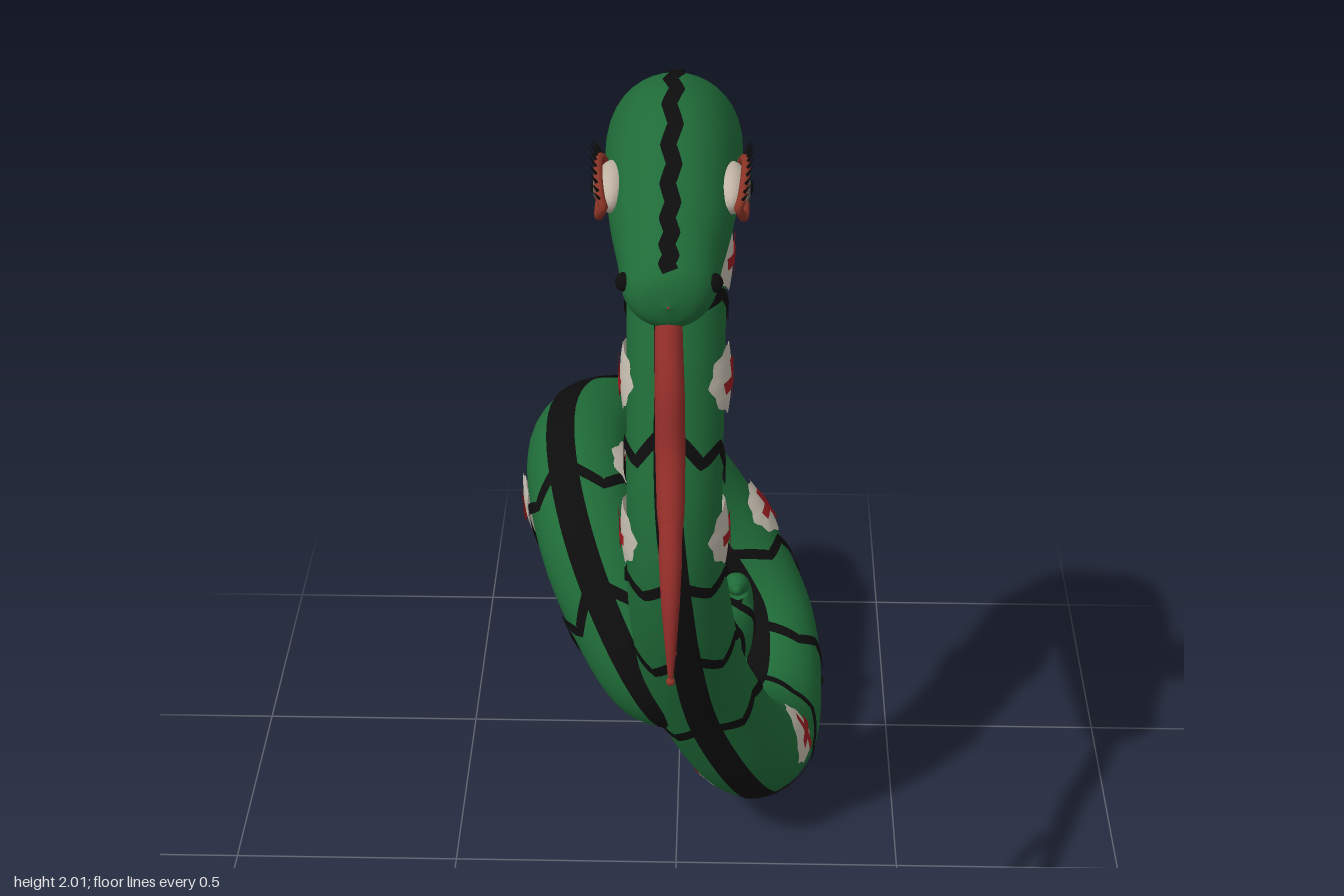
import * as THREE from 'three';
import { mergeGeometries } from 'three/addons/utils/BufferGeometryUtils.js';

const V = (x, y, z) => new THREE.Vector3(x, y, z);
const mat = (color) => new THREE.MeshStandardMaterial({ color, side: THREE.DoubleSide });
const GREEN = mat(0x1f6b38), BLACK = mat(0x0d0d0d), PATCH = mat(0xc4bcae), CROSS = mat(0x9a1c20);
const TONGUE = mat(0x8f2c28), LID = mat(0x8a3426), SCLERA = mat(0xc0b3a4), IRIS = mat(0x6a665c);

function add(parent, name, geometry, material) {
  const m = new THREE.Mesh(geometry, material);
  m.name = name;
  parent.add(m);
  return m;
}

// Skin a surface function f(u, v) with a grid; closed joins v back to its start
function skin(f, [u0, u1], [v0, v1], nu, nv, closed = false) {
  const pos = [], idx = [], row = closed ? nv : nv + 1;
  for (let i = 0; i <= nu; i++)
    for (let j = 0; j < row; j++)
      pos.push(...f(u0 + (u1 - u0) * i / nu, v0 + (v1 - v0) * j / nv).toArray());
  for (let i = 0; i < nu; i++)
    for (let j = 0; j < nv; j++) {
      const k = (j + 1) % row, a = i * row + j, b = a + row, c = i * row + k, d = c + row;
      idx.push(a, b, c, b, d, c);
    }
  const g = new THREE.BufferGeometry();
  g.setAttribute('position', new THREE.Float32BufferAttribute(pos, 3));
  g.setIndex(idx);
  g.computeVertexNormals();
  return g;
}
const TURN = [0, Math.PI * 2];

// Tapered tube through [x, y, z, radius] points; u is the point index
function tube(points, ref) {
  const n = points.length - 1;
  const path = new THREE.CatmullRomCurve3(points.map((p) => V(p[0], p[1], p[2])));
  const frame = (u) => {
    const t = THREE.MathUtils.clamp(u / n, 0, 1), i = Math.min(Math.floor(t * n), n - 1);
    const T = path.getTangent(t), S = ref.clone().addScaledVector(T, -ref.dot(T)).normalize();
    const r = THREE.MathUtils.lerp(points[i][3], points[i + 1][3], t * n - i);
    return { C: path.getPoint(t), T, S, O: T.clone().cross(S), r };
  };
  const surf = (u, v, lift = 0) => {
    const { C, S, O, r } = frame(u);
    return C.addScaledVector(O, (r + lift) * Math.cos(v)).addScaledVector(S, (r + lift) * Math.sin(v));
  };
  return { n, frame, surf };
}

// Flat ribbon that follows [u, v] points over a surface
function ribbon(surf, pts, width, lift) {
  const left = [], right = [], steps = 6, e = 0.01;
  const at = (q) => {
    const i = Math.min(Math.floor(q), pts.length - 2), k = q - i;
    return [0, 1].map((c) => THREE.MathUtils.lerp(pts[i][c], pts[i + 1][c], k));
  };
  const N = (pts.length - 1) * steps;
  for (let i = 0; i <= N; i++) {
    const q = i / steps, [u, v] = at(q), p = surf(u, v, lift);
    const a = at(Math.max(q - 0.15, 0)), b = at(Math.min(q + 0.15, pts.length - 1));
    const dir = surf(b[0], b[1]).sub(surf(a[0], a[1]));
    const du = surf(u + e, v).sub(surf(u - e, v)), dv = surf(u, v + e).sub(surf(u, v - e));
    const side = dir.cross(du.cross(dv)).normalize().multiplyScalar(width / 2);
    left.push(p.clone().sub(side));
    right.push(p.clone().add(side));
  }
  return skin((u, v) => (v < 0.5 ? left : right)[Math.round(u)].clone(), [0, N], [0, 1], N, 1);
}

function buildBody(root) {
  const body = tube([
    [0, 1.79, 0.035, 0.098], [0, 1.68, -0.035, 0.097], [0, 1.54, -0.05, 0.097], [0, 1.31, 0.03, 0.097],
    [0, 1.01, 0.125, 0.095], [0.01, 0.8, 0.1, 0.105], [0.05, 0.52, 0.0, 0.112], [0.16, 0.23, -0.14, 0.117],
    [0.22, 0.117, -0.4, 0.115], [0.2, 0.22, -0.66, 0.115], [0.04, 0.48, -0.77, 0.115],
    [-0.13, 0.74, -0.66, 0.115], [-0.22, 0.847, -0.4, 0.115], [-0.17, 0.74, -0.14, 0.114],
    [-0.04, 0.52, -0.02, 0.105], [0.04, 0.46, -0.15, 0.09], [0.09, 0.435, -0.28, 0.08],
    [0.12, 0.475, -0.362, 0.052], [0.13, 0.52, -0.355, 0.03], [0.13, 0.53, -0.325, 0.012],
  ], V(0.94, 0.34, 0));
  add(root, 'body', skin(body.surf, [0, body.n], TURN, 190, 32, true), GREEN);
  add(root, 'neckCap', skin((u, v) => body.frame(0).C.lerp(body.surf(0, v), u), [0, 1], TURN, 1, 32, true), GREEN);
  add(root, 'tailTip', new THREE.SphereGeometry(0.013, 12, 8), GREEN).position.set(0.13, 0.53, -0.325);

  // Long stripes along the outer and inner sides
  for (const [name, mid, w] of [['outerStripe', 0, 0.28], ['innerStripe', Math.PI, 0.24]])
    add(root, name, skin((u, v) => body.surf(u, v, 0.004), [0, body.n - 1], [mid - w, mid + w], 180, 6), BLACK);

  // Jagged cross bands on both flanks
  const zig = [[0.1, 0], [0.7, 0.2], [1.2, 0.1], [1.8, 0.36], [2.3, 0.3], [3.05, 0.5]];
  const bands = [0.1, 0.75, 2.25, 3.3, 4.3, 5.15, 6.0, 7.35, 8.3, 9.1, 10.3, 11.1, 12.45, 13.2, 14.2, 15.2, 16.3];
  const strips = [];
  bands.forEach((u, i) => {
    for (const s of [1, -1])
      strips.push(ribbon(body.surf, zig.map(([v, d]) => [u + d * (i % 2 ? 1 : 0.8), v * s]), 0.024, 0.005));
  });
  add(root, 'crossBands', mergeGeometries(strips), BLACK);

  // Round patches with a cross, wrapped over the flanks
  for (const u of [2, 3, 4, 7.1, 9.7, 12.4])
    for (const s of [1, -1]) {
      const { C, S, O, r } = body.frame(u);
      const up = V(0, 1, 0).addScaledVector(S, -S.y).normalize(), across = S.clone().cross(up);
      const wrap = (a, b, lift) => {
        const e = across.clone().multiplyScalar(a * s).addScaledVector(up, b), w = e.dot(O);
        return C.clone().add(e).addScaledVector(S, s * (Math.sqrt(Math.max(r * r - w * w, 0)) + lift));
      };
      const g = new THREE.Group();
      g.name = 'flankPatch';
      root.add(g);
      const edge = (v) => 0.068 + 0.004 * Math.sin(v * 9);
      add(g, 'patchDisc', skin((q, v) => wrap(q * edge(v) * Math.cos(v), q * edge(v) * Math.sin(v), 0.013 - 0.006 * q * q),
        [0, 1], TURN, 5, 36, true), PATCH);
      add(g, 'crossUpright', skin((a, b) => wrap(a, b, 0.016), [-0.012, 0.012], [-0.047, 0.047], 2, 10), CROSS);
      add(g, 'crossBar', skin((a, b) => wrap(a, b, 0.0165), [-0.047, 0.047], [-0.012, 0.012], 10, 2), CROSS);
    }
}

function buildHead(root) {
  // Head sections from snout to nape: z, bottom, top, half width
  const rows = [
    [0.6, 1.785, 1.79, 0.002], [0.587, 1.745, 1.835, 0.05], [0.55, 1.724, 1.864, 0.078], [0.47, 1.714, 1.9, 0.09],
    [0.37, 1.71, 1.96, 0.108], [0.22, 1.7, 2.0, 0.122], [0.08, 1.715, 1.975, 0.12],
    [-0.005, 1.745, 1.915, 0.09], [-0.04, 1.82, 1.83, 0.003],
  ];
  const n = rows.length - 1;
  const spine = new THREE.CatmullRomCurve3(rows.map((r) => V(0, (r[1] + r[2]) / 2, r[0])), false, 'catmullrom');
  const size = new THREE.CatmullRomCurve3(rows.map((r) => V(r[3], (r[2] - r[1]) / 2, 0)), false, 'catmullrom');
  const surf = (u, v, lift = 0) => {
    const t = THREE.MathUtils.clamp(u / n, 0, 1), c = spine.getPoint(t), s = size.getPoint(t);
    return V(-(s.x + lift) * Math.sin(v), c.y + (s.y + lift) * Math.cos(v), c.z);
  };
  add(root, 'head', skin(surf, [0, n], TURN, 64, 36, true), GREEN);
  const wavy = [];
  for (let i = 0; i <= 20; i++) wavy.push([1.2 + i * 0.32, 0.05 * (i % 2 ? 1 : -1)]);
  add(root, 'crownStripe', ribbon(surf, wavy, 0.028, 0.005), BLACK);

  for (const s of [1, -1]) {
    add(root, 'nostril', new THREE.SphereGeometry(0.017, 14, 10), BLACK).position.set(s * 0.074, 1.805, 0.545);

    // Almond eye with rim and lashes
    const eye = new THREE.Group();
    eye.name = 'eye';
    eye.position.set(s * 0.103, 1.876, 0.335);
    root.add(eye);
    const ball = (name, x, sx, sy, sz, m) => {
      const b = add(eye, name, new THREE.SphereGeometry(1, 20, 14), m);
      b.position.x = s * x;
      b.scale.set(sx, sy, sz);
    };
    ball('eyeWhite', 0, 0.03, 0.038, 0.07, SCLERA);
    ball('iris', 0.02, 0.015, 0.028, 0.028, IRIS);
    ball('pupil', 0.03, 0.008, 0.015, 0.015, BLACK);
    const rim = (a) => V(s * (0.012 + 0.012 * Math.abs(Math.sin(a))),
      0.044 * Math.sin(a) * Math.abs(Math.sin(a)) ** 0.3, 0.078 * Math.cos(a));
    const loop = Array.from({ length: 24 }, (_, i) => rim(i / 24 * Math.PI * 2));
    add(eye, 'eyelidRim', new THREE.TubeGeometry(new THREE.CatmullRomCurve3(loop, true), 64, 0.008, 8, true), LID);
    for (let i = 0; i < 11; i++) {
      const a = 0.35 + i * 0.244, p = rim(a);
      const dir = V(s * 0.5, 1, Math.cos(a) * 0.8).normalize();
      const lash = add(eye, 'eyelash', new THREE.ConeGeometry(0.0035, 0.034, 5), BLACK);
      lash.position.copy(p).addScaledVector(dir, 0.018);
      lash.quaternion.setFromUnitVectors(V(0, 1, 0), dir);
    }
  }
}

function buildTongue(root) {
  const parts = {
    tongueStem: [[0, 1.78, 0.53, 0.022], [0, 1.73, 0.575, 0.024], [0.003, 1.645, 0.64, 0.026],
      [0.005, 1.55, 0.68, 0.026], [0.007, 1.48, 0.745, 0.024], [0.008, 1.45, 0.775, 0.02]],
    frontFork: [[0.007, 1.475, 0.75, 0.02], [0.008, 1.42, 0.81, 0.02], [0.009, 1.36, 0.85, 0.016],
      [0.01, 1.29, 0.875, 0.01], [0.01, 1.225, 0.886, 0.004]],
    rearFork: [[0.007, 1.475, 0.765, 0.017], [0.008, 1.42, 0.742, 0.019], [0.009, 1.36, 0.737, 0.016],
      [0.01, 1.28, 0.752, 0.01], [0.01, 1.185, 0.757, 0.004]],
  };
  for (const [name, pts] of Object.entries(parts)) {
    const t = tube(pts, V(1, 0, 0));
    add(root, name, skin(t.surf, [0, t.n], TURN, 32, 14, true), TONGUE);
    const end = pts[t.n], stem = name === 'tongueStem';
    add(root, name + 'Tip', new THREE.SphereGeometry(stem ? 0.02 : 0.008, 12, 8), stem ? TONGUE : LID)
      .position.set(end[0], end[1], end[2]);
  }
}

export function createModel() {
  const root = new THREE.Group();
  root.name = 'snake';
  buildBody(root);
  buildHead(root);
  buildTongue(root);
  return root;
}
